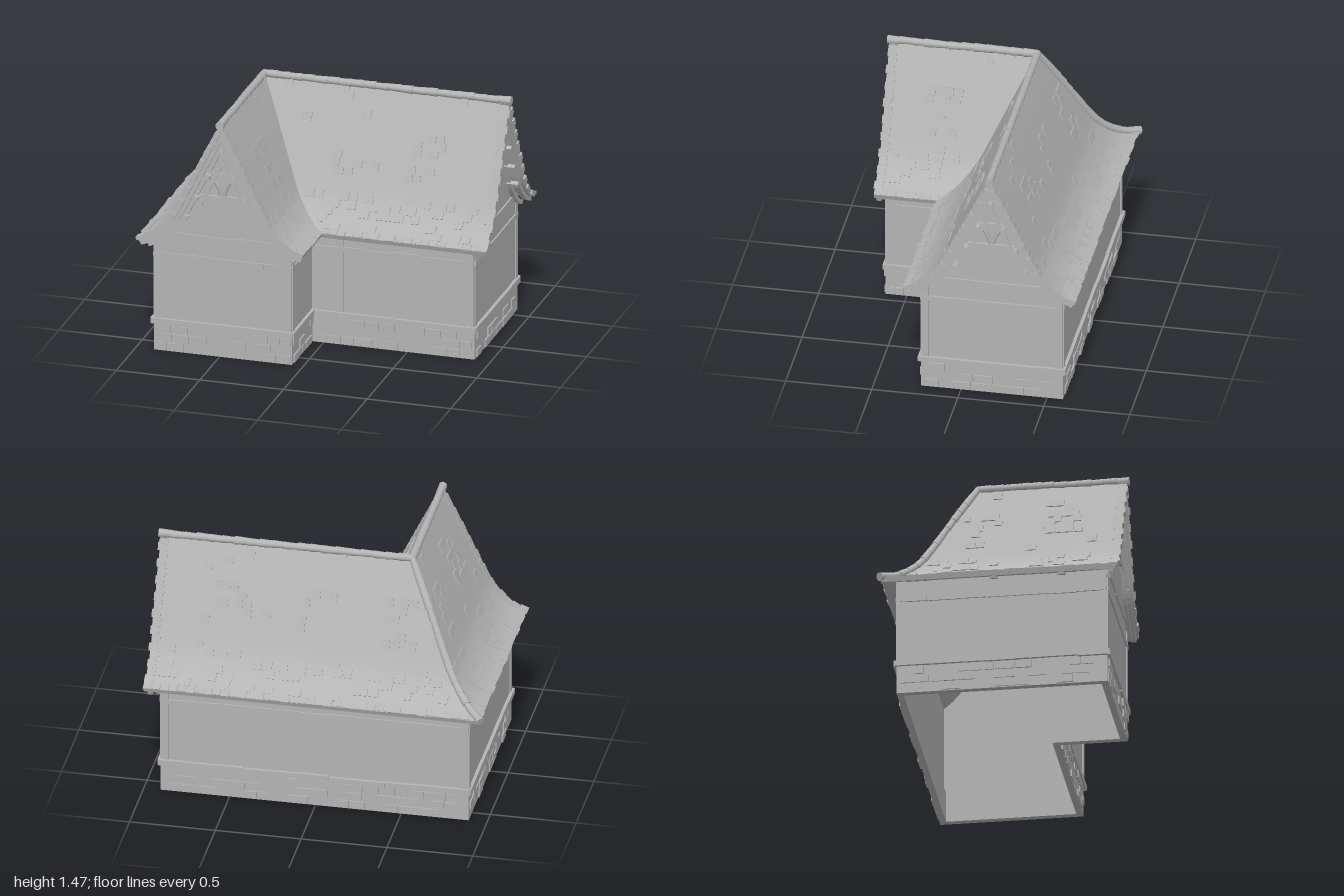
import * as THREE from 'three';
import { mergeGeometries, toCreasedNormals } from 'three/addons/utils/BufferGeometryUtils.js';

const stone = new THREE.MeshStandardMaterial({ color: 0xb4b4b4, side: THREE.DoubleSide });
stone.name = 'plain grey';

let seed = 7;
const rnd = (a = 0, b = 1) => {
  seed = (seed * 16807) % 2147483647;
  return a + (b - a) * (seed / 2147483647);
};

function mesh(name, geo) {
  const m = new THREE.Mesh(geo, stone);
  m.name = name;
  return m;
}
function box(w, h, d, x, y, z, rx = 0, rz = 0) {
  return new THREE.BoxGeometry(w, h, d).rotateX(rx).rotateZ(rz).translate(x, y, z);
}

// Roof slope: distance from the ridge, height
const CX = -0.48, CZ = -0.18;
const slope = new THREE.SplineCurve(
  [[0, 1.44], [0.1, 1.245], [0.2, 1.04], [0.28, 0.88], [0.335, 0.805], [0.39, 0.752], [0.445, 0.718], [0.495, 0.698]]
    .map(p => new THREE.Vector2(...p)));
const STEPS = 28;

// Points of the slope moved inwards, stopped at the ridge plane
function inset(o) {
  const pts = [];
  for (let i = 0; i <= STEPS; i++) {
    const p = slope.getPointAt(i / STEPS), t = slope.getTangentAt(i / STEPS);
    let d = p.x + t.y * o, y = p.y - t.x * o;
    if (d < 0) { y += 2 * d; d = 0; }
    pts.push(new THREE.Vector2(d, y));
  }
  return pts;
}

// House outline in plan, grown by o
const outline = o => [[-0.89 - o, -0.59 - o], [0.9 + o, -0.59 - o], [0.9 + o, 0.23 + o],
  [-0.07 + o, 0.23 + o], [-0.07 + o, 0.62 + o], [-0.89 - o, 0.62 + o]];

// Hollow band of wall following the outline
function ring(out, inn, y0, y1) {
  const pts = o => outline(o).map(([x, z]) => new THREE.Vector2(x, -z));
  const s = new THREE.Shape(pts(out));
  s.holes.push(new THREE.Path(pts(inn)));
  return new THREE.ExtrudeGeometry(s, { depth: y1 - y0, bevelEnabled: false })
    .rotateX(-Math.PI / 2).translate(0, y0, 0);
}

// Slightly uneven beam, made of short pieces
function beam(list, x0, x1, y, h, depth, z = 0) {
  const n = Math.max(1, Math.round((x1 - x0) / 0.17)), w = (x1 - x0) / n;
  for (let i = 0; i < n; i++)
    list.push(box(w, h + rnd(-0.004, 0.004), depth + rnd(0, 0.004), x0 + (i + 0.5) * w, y + rnd(-0.003, 0.003), z));
}

// Timber and masonry on one wall; local x runs along it, local z points out
function wallDressing(a, b, posts) {
  const L = Math.hypot(b[0] - a[0], b[1] - a[1]);
  const g = new THREE.Group();
  g.name = 'wallDressing';
  g.position.set(b[0], 0, b[1]);
  g.rotation.y = Math.atan2((b[1] - a[1]) / L, -(b[0] - a[0]) / L);
  const timber = [], ledge = [], stones = [];
  beam(timber, 0, L, 0.585, 0.028, 0.016);
  beam(timber, 0, L, 0.715, 0.03, 0.016);
  for (const p of posts) timber.push(box(0.042, 0.52, 0.014, p < 0 ? L + p : p, 0.46, 0));
  beam(ledge, -0.012, L + 0.012, 0.183, 0.034, 0.036);
  for (let r = 0; r < 3; r++) {
    let x = rnd(0, 0.05);
    while (x < L - 0.05) {
      const w = Math.min(rnd(0.06, 0.12), L - x);
      if (rnd() < 0.6) stones.push(box(w - 0.008, 0.046, 0.014, x + w / 2, 0.029 + r * 0.054, rnd(0.002, 0.006)));
      x += w;
    }
  }
  g.add(mesh('timberFrame', mergeGeometries(timber)), mesh('plinthLedge', mergeGeometries(ledge)),
    mesh('plinthStones', mergeGeometries(stones)));
  return g;
}

// One roof slope: hip = -1 widens towards the eave, +1 narrows into a valley
function roofPanel(name, along, out, hip, end) {
  const m = new THREE.Matrix4().makeBasis(along, new THREE.Vector3(0, 1, 0), out).setPosition(CX, 0, CZ);
  const place = geo => {
    geo.applyMatrix4(m);
    if (m.determinant() < 0) {
      const ix = geo.index.array;
      for (let i = 0; i < ix.length; i += 3) [ix[i], ix[i + 1]] = [ix[i + 1], ix[i]];
    }
    return geo;
  };
  // Slab lofted down the slope
  const top = inset(0), under = inset(0.028), pos = [], idx = [];
  for (let i = 0; i <= STEPS; i++) {
    const t = top[i], u = under[i];
    pos.push(hip * t.x, t.y, t.x, end, t.y, t.x, end, u.y, u.x, hip * u.x, u.y, u.x);
    if (i) for (let k = 0; k < 4; k++) {
      const a = (i - 1) * 4 + k, b = (i - 1) * 4 + (k + 1) % 4;
      idx.push(a, a + 4, b, b, a + 4, b + 4);
    }
  }
  const e = STEPS * 4;
  idx.push(e, e + 3, e + 2, e, e + 2, e + 1, 0, 1, 2, 0, 2, 3);
  const slab = new THREE.BufferGeometry();
  slab.setAttribute('position', new THREE.Float32BufferAttribute(pos, 3));
  slab.setIndex(idx);

  // Raised shingles, denser near the eave and in patches higher up
  const shingles = [], edge = [], ROWS = 19;
  for (let r = 0; r < ROWS; r++) {
    const u = (r + 0.5) / ROWS, p = slope.getPointAt(u), t = slope.getTangentAt(u);
    const phi = Math.atan2(-t.y, t.x), len = slope.getLength() / ROWS;
    const tile = (list, w, th, s, lift, l = len) =>
      list.push(box(w, th, l, s, p.y + t.x * lift, p.x - t.y * lift, phi + 0.06));
    let s = Math.max(hip * p.x, -0.5) + 0.06 + rnd(0, 0.03);
    while (s < end - 0.07) {
      const w = rnd(0.04, 0.065);
      const patch = Math.sin(s * 13 + 1) > 0.3 && u > 0.25 && u < 0.6;
      if (rnd() < (u > 0.68 ? 0.33 : patch ? 0.35 : 0.02)) tile(shingles, w, 0.01, s, 0.002);
      s += w;
    }
    // Staggered tiles on the gable edge
    const over = r % 2 ? rnd(0.008, 0.013) : rnd(0, 0.005);
    tile(edge, 0.05, 0.03, end + over - 0.025, -0.01, len * 0.96);
  }
  // Ragged eave row
  const p = slope.getPointAt(0.975), t = slope.getTangentAt(0.975);
  for (let s = hip * 0.48; s < end - 0.03; s += 0.05)
    edge.push(box(0.047, 0.02, 0.05, s + 0.025, p.y - 0.004, p.x + rnd(-0.01, 0.004), Math.atan2(-t.y, t.x)));
  // Rafter ends under the eave
  const pegs = [];
  for (let s = hip > 0 ? 0.58 : 0.15; s < end - 0.1; s += 0.39)
    pegs.push(box(0.04, 0.022, 0.06, s, 0.685, 0.44, 0.35));

  const g = new THREE.Group();
  g.name = name;
  g.add(mesh('roofSlab', toCreasedNormals(place(slab), 0.6)), mesh('shingles', place(mergeGeometries(shingles))),
    mesh('edgeTiles', place(mergeGeometries(edge))), mesh('rafterEnds', place(mergeGeometries(pegs))));
  return g;
}

// Row of tapered cap tiles along a path
function capTiles(name, points) {
  const path = new THREE.CatmullRomCurve3(points.map(p => new THREE.Vector3(...p)));
  const n = Math.round(path.getLength() / 0.075), caps = [];
  for (let i = 0; i < n; i++) {
    const a = path.getPointAt(i / n), b = path.getPointAt((i + 1) / n), r = rnd(0.022, 0.026);
    const q = new THREE.Quaternion().setFromUnitVectors(new THREE.Vector3(0, 1, 0), b.clone().sub(a).normalize());
    const c = a.clone().lerp(b, 0.5);
    caps.push(new THREE.CylinderGeometry(r, r - 0.004, a.distanceTo(b) + 0.012, 10)
      .applyQuaternion(q).translate(c.x, c.y + rnd(-0.002, 0.002), c.z));
  }
  return mesh(name, mergeGeometries(caps));
}

// Gable: infill wall, curved bargeboards and small roof truss; faces local +z
function gable(overhang) {
  const g = new THREE.Group();
  g.name = 'gable';
  const extrude = (pts, depth, z) => new THREE.ExtrudeGeometry(new THREE.Shape(pts), { depth, bevelEnabled: false })
    .translate(0, 0, z);
  const half = inset(0.015).filter(p => p.x < 0.41);
  half.push(new THREE.Vector2(0.41, 0.72));
  const flip = pts => pts.map(p => new THREE.Vector2(-p.x, p.y));
  g.add(mesh('gableWall', extrude([...half, ...flip(half).reverse()], 0.02, -0.02)));
  const strip = (o0, o1, upTo) => [...inset(o0).slice(0, upTo), ...inset(o1).slice(0, upTo).reverse()];
  const truss = [];
  for (const side of [1, -1]) {
    const put = (name, pts, d, z) => g.add(mesh(name, extrude(side > 0 ? pts : flip(pts), d, z)));
    put('bargeboard', strip(0.024, 0.052, STEPS + 1), 0.03, overhang - 0.045);
    put('innerRafter', strip(0.052, 0.078, STEPS), 0.025, 0);
    put('trussRafter', strip(0.1, 0.122, 17), 0.014, 0);
    // Purlin ends between the rafters
    for (const u of [0.17, 0.36, 0.53, 0.68]) {
      const p = slope.getPointAt(u), t = slope.getTangentAt(u);
      truss.push(box(0.024, 0.026, overhang - 0.01, side * (p.x + t.y * 0.075), p.y - t.x * 0.075,
        overhang / 2 - 0.005, 0, side * Math.atan2(t.y, t.x)));
    }
    // Curved brace
    const arc = new THREE.QuadraticBezierCurve3(new THREE.Vector3(side * 0.01, 0.98, 0.004),
      new THREE.Vector3(side * 0.02, 1.07, 0.004), new THREE.Vector3(side * 0.085, 1.105, 0.004));
    g.add(mesh('curvedBrace', new THREE.TubeGeometry(arc, 8, 0.01, 6)));
  }
  beam(truss, -0.18, 0.18, 0.972, 0.03, 0.03);
  beam(truss, -0.105, 0.105, 1.115, 0.026, 0.026);
  g.add(mesh('trussBeams', mergeGeometries(truss)));
  return g;
}

export function createModel() {
  const model = new THREE.Group();
  model.name = 'cottage';
  model.add(mesh('plinth', ring(0.003, -0.035, 0, 0.18)), mesh('walls', ring(0, -0.02, 0.18, 0.73)));

  const o = outline(0);
  const posts = [[0.022, -0.022], [0.022, -0.022], [0.17, -0.022], [0.022], [0.022, -0.022], [0.022, -0.022]];
  o.forEach((a, i) => model.add(wallDressing(a, o[(i + 1) % 6], posts[i])));

  // Four slopes of the L-shaped roof
  const X = new THREE.Vector3(1, 0, 0), Z = new THREE.Vector3(0, 0, 1);
  model.add(roofPanel('frontSlope', X, Z, 1, 1.463), roofPanel('backSlope', X, Z.clone().negate(), -1, 1.463),
    roofPanel('wingRightSlope', Z, X, 1, 0.855), roofPanel('wingLeftSlope', Z, X.clone().negate(), -1, 0.855));

  // Ridge and hip caps
  model.add(capTiles('mainRidge', [[CX, 1.443, CZ], [0.99, 1.443, CZ]]),
    capTiles('wingRidge', [[CX, 1.443, CZ], [CX, 1.443, 0.685]]),
    capTiles('hipRidge', [0, 0.15, 0.3, 0.45, 0.6, 0.7, 0.8, 0.9, 1].map(u => {
      const p = slope.getPointAt(u);
      return [CX - p.x, p.y + 0.003, CZ - p.x];
    })));

  // Gable ends
  const front = gable(0.06), right = gable(0.08);
  front.position.set(CX, 0, 0.62);
  right.position.set(0.9, 0, CZ);
  right.rotation.y = Math.PI / 2;
  model.add(front, right);
  return model;
}
